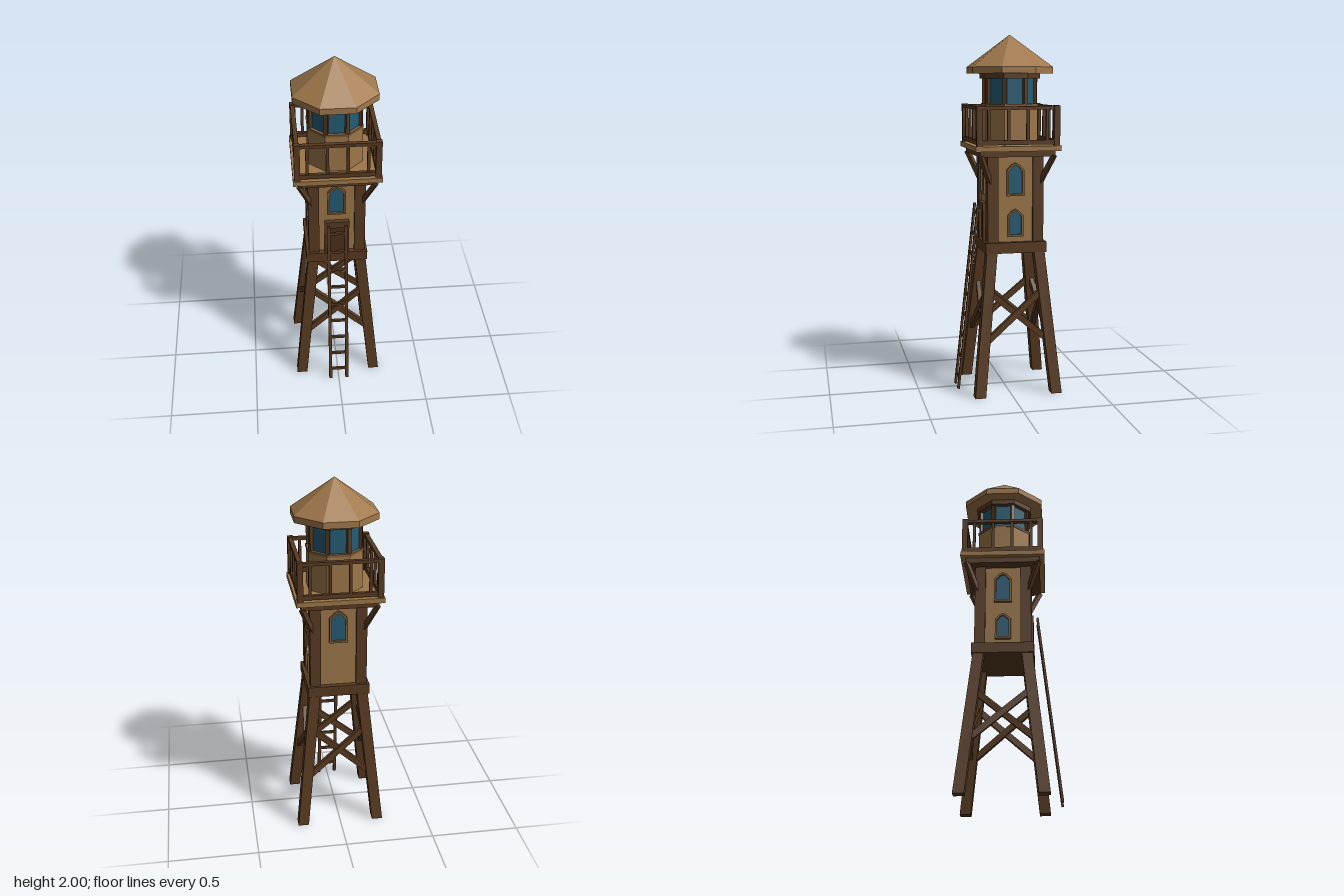
import * as THREE from 'three';

const mat = (name, color) => Object.assign(new THREE.MeshStandardMaterial({ color, flatShading: true }), { name });

export function createModel() {
  const wood = mat('darkWood', 0x583a20);
  const tan = mat('tanBoards', 0x9c7648);
  const roofTan = mat('roofTan', 0xa0784b);
  const trim = mat('windowTrim', 0x7d5b37);
  const glass = mat('glass', 0x245c73);
  const doorWood = mat('doorWood', 0x4d301b);

  const model = new THREE.Group();
  model.name = 'watchtower';
  const tower = new THREE.Group();
  tower.name = 'tower';
  tower.position.z = -0.035;
  model.add(tower);

  const add = (parent, name, geo, material, x = 0, y = 0, z = 0) => {
    const m = new THREE.Mesh(geo, material);
    m.name = name;
    m.position.set(x, y, z);
    parent.add(m);
    return m;
  };
  // box given by its bottom and top heights
  const slab = (parent, name, w, d, y0, y1, material, x = 0, z = 0) =>
    add(parent, name, new THREE.BoxGeometry(w, y1 - y0, d), material, x, (y0 + y1) / 2, z);
  // straight timber between two points, in the parent's own frame
  const up = new THREE.Vector3(0, 1, 0);
  const beam = (parent, name, a, b, w, d) => {
    const p = new THREE.Vector3(...a), q = new THREE.Vector3(...b);
    const m = add(parent, name, new THREE.BoxGeometry(w, d, p.distanceTo(q)), wood);
    m.position.copy(p).add(q).multiplyScalar(0.5);
    m.quaternion.setFromRotationMatrix(new THREE.Matrix4().lookAt(q, p, up));
  };
  // octagonal prism with a flat side facing front
  const octagon = (name, inBottom, inTop, y0, y1, material) => {
    const k = 1 / Math.cos(Math.PI / 8);
    const g = new THREE.CylinderGeometry(inTop * k, inBottom * k, y1 - y0, 8);
    g.rotateY(Math.PI / 8);
    add(tower, name, g, material, 0, (y0 + y1) / 2, 0);
  };

  // legs, corner posts and platform brackets at the four corners
  for (const sx of [-1, 1]) for (const sz of [-1, 1]) {
    const g = new THREE.BoxGeometry(0.06, 0.82, 0.06);
    g.translate(0, 0.41, 0);
    const p = g.attributes.position;
    for (let i = 0; i < p.count; i++) {
      const off = 0.218 - 0.104 * p.getY(i);
      p.setX(i, p.getX(i) + sx * off);
      p.setZ(i, p.getZ(i) + sz * off);
    }
    g.computeVertexNormals();
    add(tower, 'leg', g, wood);
    slab(tower, 'cornerPost', 0.06, 0.06, 0.85, 1.35, wood, sx * 0.128, sz * 0.128);
    beam(tower, 'platformBracket', [sx * 0.142, 1.19, sz * 0.142], [sx * 0.205, 1.345, sz * 0.205], 0.025, 0.025);
    slab(tower, 'railPost', 0.032, 0.032, 1.39, 1.616, wood, sx * 0.215, sz * 0.215);
  }

  // cabin and platforms
  slab(tower, 'lowerPlatform', 0.345, 0.345, 0.80, 0.86, wood);
  slab(tower, 'cabinWalls', 0.286, 0.286, 0.85, 1.35, tan);
  slab(tower, 'platformBeam', 0.42, 0.42, 1.338, 1.372, wood);
  slab(tower, 'upperPlatform', 0.476, 0.476, 1.37, 1.398, tan);

  // window with a clipped, pointed head
  const arch = (S, w, h) => {
    const s = new S();
    [[-w, -h], [w, -h], [w, h * 0.55], [w * 0.45, h * 0.88], [0, h], [-w * 0.45, h * 0.88], [-w, h * 0.55]]
      .forEach(([x, y], i) => (i ? s.lineTo(x, y) : s.moveTo(x, y)));
    s.closePath();
    return s;
  };
  const windowUnit = (parent, y, w, h) => {
    const s = arch(THREE.Shape, w, h);
    s.holes.push(arch(THREE.Path, w - 0.012, h - 0.012));
    add(parent, 'windowFrame', new THREE.ExtrudeGeometry(s, { depth: 0.017, bevelEnabled: false }), trim, 0, y, 0.143);
    add(parent, 'windowGlass', new THREE.ExtrudeGeometry(arch(THREE.Shape, w - 0.01, h - 0.01),
      { depth: 0.006, bevelEnabled: false }), glass, 0, y, 0.143);
  };

  // four sides: cross braces, railing and windows
  for (let i = 0; i < 4; i++) {
    const side = new THREE.Group();
    side.name = ['frontSide', 'rightHandSide', 'backSide', 'leftHandSide'][i];
    side.rotation.y = i * Math.PI / 2;
    tower.add(side);
    for (const s of [-1, 1])
      beam(side, 'crossBrace', [-s * 0.185, 0.295, 0.189 + s * 0.004], [s * 0.158, 0.59, 0.158 + s * 0.004], 0.024, 0.034);
    slab(side, 'topRail', 0.42, 0.024, 1.594, 1.612, wood, 0, 0.215);
    slab(side, 'bottomRail', 0.42, 0.02, 1.405, 1.43, wood, 0, 0.215);
    for (let k = 0; k < 4; k++)
      slab(side, 'baluster', 0.016, 0.016, 1.42, 1.6, wood, -0.162 + k * 0.108, 0.215);
    windowUnit(side, 1.21, 0.05, 0.092);
    if (i % 2) windowUnit(side, 0.967, 0.044, 0.077);
  }

  // door
  slab(tower, 'doorPanel', 0.1, 0.012, 0.86, 1.04, doorWood, 0, 0.147);
  for (const s of [-1, 1]) slab(tower, 'doorJamb', 0.025, 0.03, 0.86, 1.068, wood, s * 0.056, 0.153);
  slab(tower, 'doorLintel', 0.137, 0.032, 1.03, 1.07, wood, 0, 0.153);

  // lantern room
  octagon('lanternBase', 0.147, 0.147, 1.39, 1.612, tan);
  octagon('lanternSill', 0.15, 0.15, 1.608, 1.622, trim);
  octagon('lanternGlass', 0.132, 0.132, 1.62, 1.765, glass);
  octagon('lanternHead', 0.159, 0.159, 1.76, 1.792, wood);
  for (let i = 0; i < 8; i++) {
    const a = (i + 0.5) * Math.PI / 4;
    const post = slab(tower, 'lanternPost', 0.022, 0.022, 1.62, 1.765, wood, Math.sin(a) * 0.144, Math.cos(a) * 0.144);
    post.rotation.y = a;
  }

  // roof
  octagon('roofEave', 0.226, 0.226, 1.788, 1.823, roofTan);
  octagon('roofCone', 0.226, 0, 1.823, 2.0, roofTan);

  // ladder leaning on the door
  const ladder = new THREE.Group();
  ladder.name = 'ladder';
  model.add(ladder);
  const zAt = (y) => 0.275 - 0.112 * y;
  for (const s of [-1, 1])
    beam(ladder, 'ladderRail', [s * 0.049, 0.001, zAt(0)], [s * 0.049, 1.06, zAt(1.06)], 0.018, 0.013);
  for (let k = 0; k < 9; k++) {
    const y = 0.07 + k * 0.118;
    slab(ladder, 'rung', 0.09, 0.012, y - 0.008, y + 0.008, wood, 0, zAt(y));
  }
  return model;
}
